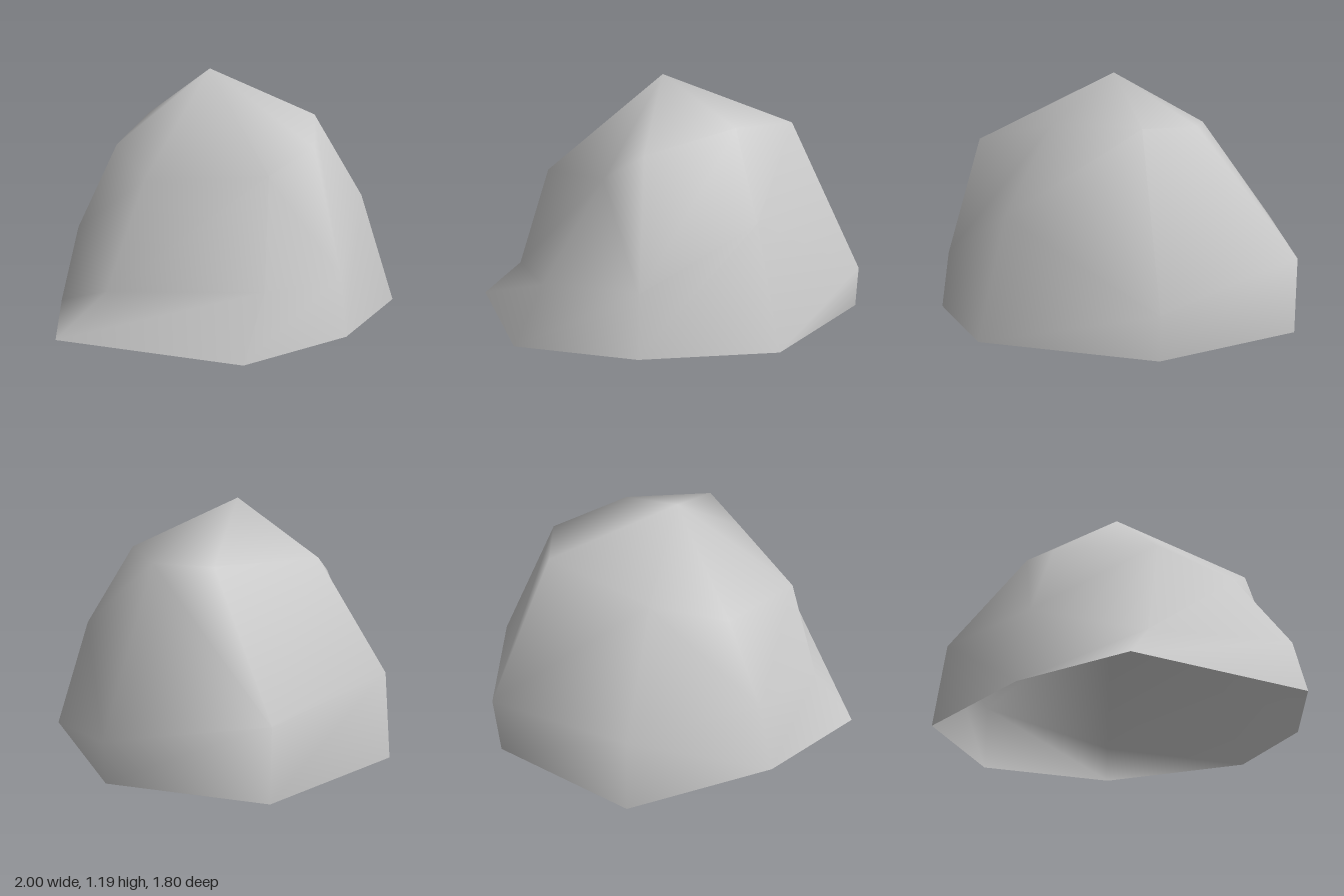
import * as THREE from 'three';

// Three rings of eight points each, running from +x round by the front (+z).
const RINGS = [
  // ground outline
  [[0.99, 0, 0], [0.59, 0, 0.74], [-0.02, 0, 0.9], [-0.6, 0, 0.8],
   [-1, 0, 0], [-0.65, 0, -0.46], [-0.02, 0, -0.9], [0.73, 0, -0.71]],
  // flank
  [[1, 0.2, 0], [0.48, 0.55, 0.6], [-0.02, 0.28, 0.86], [-0.46, 0.29, 0.79],
   [-0.77, 0.2, 0.09], [-0.56, 0.38, -0.42], [-0.02, 0.42, -0.86], [0.73, 0.35, -0.715]],
  // shoulder
  [[0.64, 0.95, 0], [0.37, 0.955, 0.37], [-0.02, 0.86, 0.69], [-0.22, 0.735, 0.59],
   [-0.59, 0.71, 0.157], [-0.37, 0.8, -0.33], [-0.02, 0.93, -0.48], [0.55, 0.95, -0.28]],
];
const PEAK = [-0.02, 1.19, 0];

// Facets of each band whose diagonal rises with the ring order instead of falling.
const RISING = [[5], [2, 5, 7]];

// Joins the rings into one smooth skin, closed at the peak and open below.
function skin(rings, peak) {
  const n = rings[0].length;
  const index = [];
  rings.forEach((ring, r) => {
    for (let i = 0; i < n; i++) {
      const a = r * n + i;
      const b = r * n + (i + 1) % n;
      if (r === rings.length - 1) index.push(a, rings.length * n, b);
      else if (RISING[r].includes(i)) index.push(a, a + n, b + n, a, b + n, b);
      else index.push(a, a + n, b, b, a + n, b + n);
    }
  });
  const geometry = new THREE.BufferGeometry();
  geometry.setAttribute('position', new THREE.Float32BufferAttribute([...rings.flat(2), ...peak], 3));
  geometry.setIndex(index);
  geometry.computeVertexNormals();
  return geometry;
}

export function createModel() {
  const stone = new THREE.MeshStandardMaterial({ color: 0xc8c8c8, side: THREE.DoubleSide });
  stone.name = 'grey stone';

  const boulder = new THREE.Mesh(skin(RINGS, PEAK), stone);
  boulder.name = 'boulder';

  const model = new THREE.Group();
  model.name = 'rock';
  model.add(boulder);
  return model;
}
